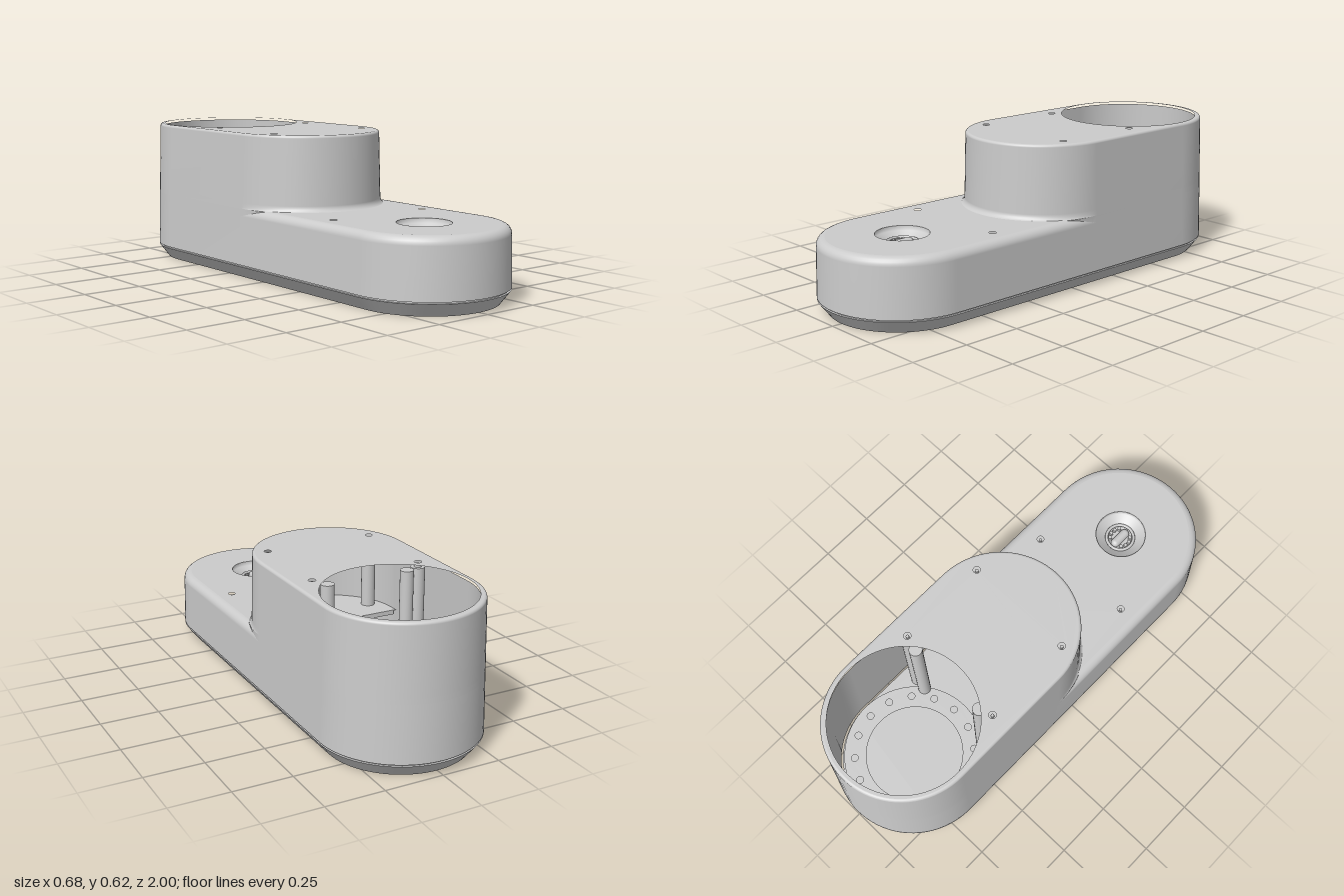
import * as THREE from 'three';

const material = new THREE.MeshStandardMaterial({ color: 0xcccccc, roughness: 0.7 });
const doubleSided = new THREE.MeshStandardMaterial({ color: 0xcccccc, roughness: 0.7, side: THREE.DoubleSide });

const HALF = 0.342, FLOOR = 0.062, DECK = 0.305, TOP = 0.62;
const OPEN_Z = -0.655, OPEN_R = 0.305, SOCKET_Z = 0.655;
const ARC = 40;

// Stadium outlines by front and back end; a flat back leaves the outline open
const whole = { front: 1, back: -1 };
const tower = { front: 0.235, back: -1 };
const foot = { front: 1, back: -0.12, flat: true };

// Points [x, z] of an outline moved inwards; flare pushes the front end outwards
function ring(o, inset, flare = 0) {
  const pts = [], r = HALF - inset;
  if (o.flat) pts.push([r, o.back]);
  for (let i = 0; i <= ARC; i++) {
    const a = (i / ARC) * Math.PI, q = r + flare * Math.sin(a);
    pts.push([q * Math.cos(a), o.front - HALF + q * Math.sin(a)]);
  }
  if (o.flat) pts.push([-r, o.back]);
  else for (let i = 0; i <= ARC; i++) {
    const a = Math.PI * (1 + i / ARC);
    pts.push([r * Math.cos(a), o.back + HALF + r * Math.sin(a)]);
  }
  return pts;
}

// Skin over rings at levels [y, inset, flare]; descending levels face inwards
function loft(o, levels) {
  const pos = [], idx = [];
  let n = 0;
  for (const [y, inset, flare] of levels) {
    const pts = ring(o, inset, flare);
    n = pts.length;
    for (const [x, z] of pts) pos.push(x, y, z);
  }
  for (let i = 0; i < levels.length - 1; i++) {
    for (let j = 0; j < (o.flat ? n - 1 : n); j++) {
      const a = i * n + j, b = i * n + ((j + 1) % n), c = a + n, d = b + n;
      idx.push(a, c, b, b, c, d);
    }
  }
  const g = new THREE.BufferGeometry();
  g.setAttribute('position', new THREE.Float32BufferAttribute(pos, 3));
  g.setIndex(idx);
  g.computeVertexNormals();
  return g;
}

const draft = (y) => 0.014 * (y - FLOOR) / (TOP - FLOOR);

// Levels of a rounded top edge
function roundedEdge(y, r) {
  const out = [];
  for (let i = 0; i <= 6; i++) {
    const t = (i / 6) * Math.PI / 2;
    out.push([y - r + r * Math.sin(t), draft(y - r) + r * (1 - Math.cos(t))]);
  }
  return out;
}

// Flat plate from points [x, z] with round holes [x, z, radius]
function plate(pts, holes, y, depth) {
  const s = new THREE.Shape(pts.map(([x, z]) => new THREE.Vector2(x, -z)));
  for (const [x, z, r] of holes) {
    s.holes.push(new THREE.Path().absarc(x, -z, r, 0, Math.PI * 2, true));
  }
  const g = new THREE.ExtrudeGeometry(s, { depth, bevelEnabled: false, curveSegments: r64(holes) });
  return g.rotateX(-Math.PI / 2).translate(0, y, 0);
}
const r64 = (holes) => (holes.some((h) => h[2] > 0.05) ? 64 : 20);

export function createModel() {
  const model = new THREE.Group();
  const add = (name, geometry, mat = material) => {
    const m = new THREE.Mesh(geometry, mat);
    m.name = name;
    model.add(m);
    return m;
  };
  const post = (name, x, z, r, y0, y1) =>
    add(name, new THREE.CylinderGeometry(r, r, y1 - y0, 20).translate(x, (y0 + y1) / 2, z));

  const screws = [];
  for (const z of [-0.4, 0, 0.39]) for (const x of [-0.24, 0.24]) screws.push([x, z, 0.015]);
  const towerScrews = screws.filter((s) => s[1] < 0.2);
  const deckScrews = screws.filter((s) => s[1] > 0.2);

  // Chamfered base with a small rim under the shadow gap
  add('baseChamfer', loft(whole, [[0, 0.042], [0.055, 0]]));
  add('baseRim', loft(whole, [[0.055, 0], [0.055, 0.01]]));
  add('baseTongue', loft(whole, [[0.055, 0.01], [0.07, 0.01]]));
  add('basePlate', plate(ring(whole, 0.042), screws, 0, 0.03));
  add('innerFloor', plate(ring(whole, 0.03), [], 0.03, 0.03));
  add('bodyLip', loft(whole, [[FLOOR, 0.012], [FLOOR, 0]]));

  // Low front housing
  const deckEdge = roundedEdge(DECK, 0.035);
  add('frontHousing', loft(foot, [[FLOOR, 0], ...deckEdge]));
  add('frontDeck', plate(ring(foot, deckEdge.at(-1)[1]),
    [...deckScrews, [0, SOCKET_Z, 0.11]], DECK - 0.02, 0.02));

  // Tall rear housing; a fillet blends its front into the deck
  const fillet = [];
  for (let i = 0; i <= 6; i++) {
    const t = (i / 6) * Math.PI / 2, y = DECK - 0.002 + 0.026 * (1 - Math.cos(t));
    fillet.push([y, draft(y), 0.026 * (1 - Math.sin(t))]);
  }
  const topEdge = roundedEdge(TOP, 0.012);
  add('rearHousing', loft(tower, [[FLOOR, 0], [0.27, draft(0.27), 0], ...fillet, ...topEdge]));
  add('rearTop', plate(ring(tower, topEdge.at(-1)[1]),
    [...towerScrews, [0, OPEN_Z, OPEN_R]], TOP - 0.02, 0.02));
  add('innerWall', loft(tower, [[TOP - 0.01, 0.036], [0.055, 0.022]]));

  // Screw bosses and recessed screw ends
  for (const [x, z] of screws) {
    const y = z > 0.2 ? DECK : TOP;
    post('screwBoss', x, z, 0.03, 0.05, y - 0.02);
    post('screwTip', x, z, 0.007, y - 0.02, y - 0.006);
  }
  for (const x of [-0.18, 0.18]) post('innerPost', x, -0.415, 0.028, 0.055, TOP - 0.02);

  // Perforated ring at the bottom of the well
  const circle = [], dots = [[0, OPEN_Z, 0.21]];
  for (let i = 0; i < 64; i++) {
    const a = (i / 64) * Math.PI * 2;
    circle.push([OPEN_R * Math.cos(a), OPEN_Z + OPEN_R * Math.sin(a)]);
  }
  for (let i = 0; i < 16; i++) {
    const a = (i / 16) * Math.PI * 2 - 0.06;
    dots.push([0.26 * Math.cos(a), OPEN_Z + 0.26 * Math.sin(a), 0.015]);
  }
  add('wellRing', plate(circle, dots, 0.06, 0.025));

  // Socket sunk into the front deck
  const bowl = [[0.11, DECK], [0.108, 0.285], [0.067, 0.27], [0.065, 0.255], [0, 0.255]]
    .map(([x, y]) => new THREE.Vector2(x, y));
  add('socketRecess', new THREE.LatheGeometry(bowl, 48).translate(0, 0, SOCKET_Z), doubleSided);
  add('socketRim', new THREE.TorusGeometry(0.06, 0.007, 8, 40)
    .rotateX(Math.PI / 2).translate(0, 0.27, SOCKET_Z));
  add('socketTongue', new THREE.CapsuleGeometry(0.02, 0.06, 6, 16)
    .rotateX(Math.PI / 2).translate(0, 0.262, SOCKET_Z));
  for (const side of [-1, 1]) {
    for (let i = -1.5; i <= 1.5; i++) {
      const a = i * 0.5;
      post('socketPin', side * 0.044 * Math.cos(a), SOCKET_Z + 0.044 * Math.sin(a), 0.008, 0.25, 0.272);
    }
  }
  return model;
}
